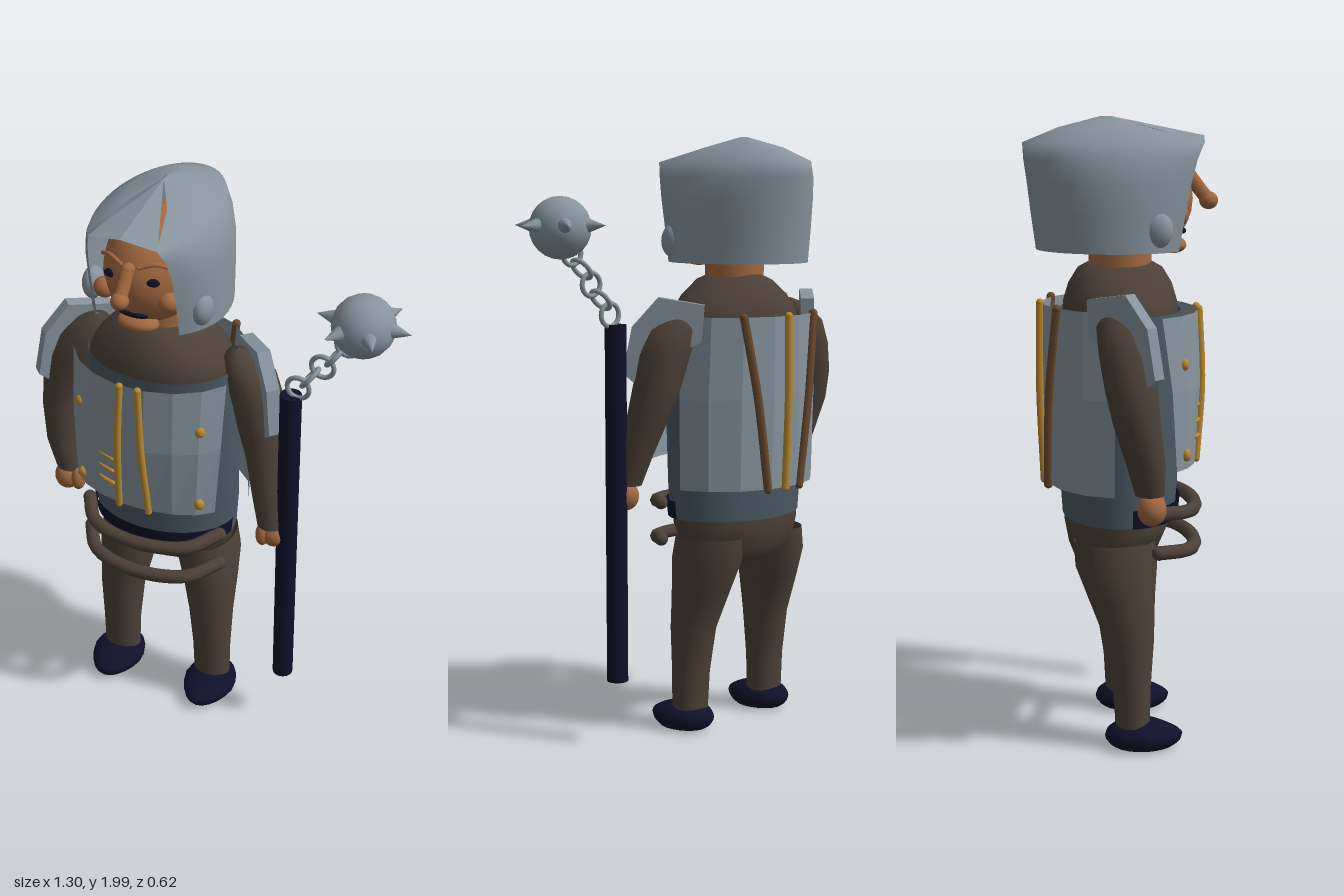
import * as THREE from 'three';

const material = (name, color, side = THREE.FrontSide) => {
  const m = new THREE.MeshStandardMaterial({ color, side });
  m.name = name;
  return m;
};

// Loft of horizontal ellipses, bottom to top. Row: [y, cx, cz, rx, rzFront, rzBack]; angle 0 faces front.
function loft(rows, { from = 0, to = 360, n = 28, flat = false } = {}) {
  const closed = to - from === 360, cols = closed ? n : n + 1, pos = [], idx = [];
  for (const [y, cx, cz, rx, rzF, rzB = rzF] of rows) {
    for (let j = 0; j < cols; j++) {
      const t = THREE.MathUtils.degToRad(from + (to - from) * j / n), c = Math.cos(t);
      pos.push(cx + rx * Math.sin(t), y, cz + (c > 0 ? rzF : rzB) * c);
    }
  }
  for (let i = 0; i < rows.length - 1; i++) for (let j = 0; j < n; j++) {
    const k = (j + 1) % cols, a = i * cols + j, b = i * cols + k;
    idx.push(a, b, b + cols, a, b + cols, a + cols);
  }
  let g = new THREE.BufferGeometry();
  g.setAttribute('position', new THREE.Float32BufferAttribute(pos, 3));
  g.setIndex(idx);
  if (flat) g = g.toNonIndexed();
  g.computeVertexNormals();
  return g;
}

export function createModel() {
  const steel = material('steel', 0x87949e, THREE.DoubleSide);
  const cloth = material('slateCloth', 0x4a5963, THREE.DoubleSide);
  const brown = material('darkBrownCloth', 0x4c4138, THREE.DoubleSide);
  const leather = material('leather', 0x6a4a2c);
  const skin = material('skin', 0xa0683f);
  const navy = material('navy', 0x10102a, THREE.DoubleSide);
  const gold = material('gold', 0xb98a30);

  const model = new THREE.Group();
  model.name = 'macebearer';
  const body = new THREE.Group();
  body.name = 'body';
  body.position.x = -0.2;
  model.add(body);

  const add = (name, geo, mat, parent = body) => {
    const m = new THREE.Mesh(geo, mat);
    m.name = name;
    parent.add(m);
    return m;
  };
  const ball = (name, mat, p, s) => {
    const m = add(name, new THREE.SphereGeometry(1, 20, 14), mat);
    m.position.set(...p);
    m.scale.set(...s);
    return m;
  };
  const tube = (name, pts, r, mat) => {
    const v = pts.map(p => new THREE.Vector3(...p));
    const m = add(name, new THREE.TubeGeometry(new THREE.CatmullRomCurve3(v), 20, r, 8), mat);
    for (const p of [v[0], v[v.length - 1]]) ball(name + 'End', mat, p.toArray(), [r, r, r]);
    return m;
  };

  // Torso and garments
  add('torso', loft([
    [0.575, 0, -0.03, 0.02, 0.02], [0.59, 0, -0.03, 0.13, 0.1], [0.64, 0, -0.02, 0.225, 0.145],
    [0.72, 0, -0.01, 0.245, 0.17], [0.9, 0, 0, 0.25, 0.18], [1.38, 0, 0, 0.25, 0.185],
    [1.43, 0, 0, 0.23, 0.18], [1.48, 0, 0, 0.19, 0.165], [1.53, 0, 0, 0.12, 0.135],
    [1.55, 0, 0, 0.07, 0.1], [1.56, 0, 0, 0.01, 0.01]]), brown);
  add('tunic', loft([
    [0.74, 0, -0.005, 0.25, 0.18], [0.85, 0, -0.005, 0.257, 0.188],
    [1.1, 0, 0, 0.26, 0.192], [1.4, 0, 0, 0.255, 0.192]]), cloth);
  add('sash', loft([[0.74, 0, 0, 0.253, 0.186], [0.8, 0, 0, 0.259, 0.192]], { from: -85, to: 85 }), navy);
  for (const y of [0.78, 0.655]) {
    tube('beltRoll', [[-0.245, y + 0.005, 0.1], [-0.17, y - 0.005, 0.2], [0, y - 0.01, 0.24],
      [0.17, y - 0.005, 0.2], [0.245, y + 0.005, 0.1]], 0.023, brown);
  }

  // Faceted breastplate and backplate
  add('breastplate', loft([
    [0.92, 0, 0.09, 0.28, 0.15], [1.17, 0, 0.05, 0.295, 0.205], [1.4, 0, 0, 0.3, 0.245]],
    { from: -65, to: 65, n: 7, flat: true }), steel);
  add('backplate', loft([
    [0.85, 0, 0, 0.295, 0.24], [1.15, 0, 0, 0.3, 0.25], [1.42, 0, 0, 0.285, 0.25]],
    { from: 100, to: 260, n: 7, flat: true }), steel);
  tube('backTrim', [[0, 0.85, -0.243], [0, 1.15, -0.255], [0, 1.42, -0.253]], 0.013, gold);

  for (const s of [-1, 1]) {
    // Armour trim
    tube('frontTrim', [[s * 0.054, 0.92, 0.24], [s * 0.042, 1.17, 0.257], [s * 0.032, 1.4, 0.248]], 0.012, gold);
    tube('backStrap', [[s * 0.075, 0.85, -0.235], [s * 0.12, 1.15, -0.232], [s * 0.165, 1.42, -0.21]], 0.014, leather);
    for (const [y, z] of [[0.965, 0.187], [1.25, 0.178]]) ball('stud', gold, [s * 0.213, y, z], [0.018, 0.02, 0.016]);

    // Shoulder guards: slanted angular plates
    const shape = new THREE.Shape([[0, 1.46], [0.15, 1.485], [0.235, 1.39], [0.265, 1.24], [0.23, 1.21],
      [0.15, 1.28], [0.01, 1.34]].map(([u, y]) => new THREE.Vector2(u, y)));
    const guard = add('shoulderGuard', new THREE.ExtrudeGeometry(shape, { depth: 0.045, bevelEnabled: false }), steel);
    guard.geometry.translate(0, 0, -0.022);
    guard.position.set(s * 0.245, 0, -0.11);
    guard.rotation.y = s > 0 ? -Math.PI / 4 : -Math.PI * 3 / 4;

    // Legs and shoes
    add('leg', loft([
      [0.06, s * 0.182, 0.025, 0.065, 0.055], [0.2, s * 0.18, 0.022, 0.068, 0.06],
      [0.36, s * 0.175, 0.015, 0.078, 0.078], [0.5, s * 0.162, -0.01, 0.094, 0.107],
      [0.6, s * 0.15, -0.025, 0.106, 0.13], [0.68, s * 0.14, -0.03, 0.1, 0.13]]), brown);
    const shoe = ball('shoe', navy, [s * 0.186, 0.045, 0.06], [0.093, 0.055, 0.125]);
    const p = shoe.geometry.attributes.position;
    for (let i = 0; i < p.count; i++) {
      const y = p.getY(i), z = p.getZ(i);
      p.setY(i, y > 0 ? y * (1 - 0.45 * Math.max(0, z)) : Math.max(y, -0.7));
      p.setX(i, p.getX(i) * (1 - 0.2 * Math.max(0, z)));
    }
    shoe.geometry.computeVertexNormals();

    // Face, mirrored features
    ball('eye', navy, [s * 0.068, 1.775, 0.198], [0.026, 0.014, 0.014]);
    ball('cheek', skin, [s * 0.11, 1.7, 0.17], [0.036, 0.033, 0.034]);
    tube('eyebrow', [[s * 0.03, 1.82, 0.207], [s * 0.075, 1.832, 0.188], [s * 0.115, 1.815, 0.16]], 0.007, skin);
    ball('earGuard', steel, [s * 0.188, 1.66, 0.1], [0.034, 0.055, 0.045]);
  }
  for (const y of [1.1, 1.05, 1.0]) {
    tube('buckleBar', [[-0.125, y + 0.005, 0.226], [-0.1, y + 0.002, 0.235], [-0.072, y, 0.243]], 0.007, gold);
  }

  // Arms: [y, cx, cz, rx, rz]
  const arms = {
    rightArm: [[0.87, -0.338, 0.06, 0.048, 0.045], [0.97, -0.362, 0.045, 0.062, 0.06], [1.1, -0.375, 0.015, 0.072, 0.072],
      [1.2, -0.365, 0, 0.08, 0.08], [1.3, -0.335, -0.01, 0.088, 0.085], [1.38, -0.3, -0.02, 0.085, 0.08],
      [1.44, -0.26, -0.02, 0.05, 0.05], [1.46, -0.25, -0.02, 0.005, 0.005]],
    leftArm: [[0.87, 0.42, 0.07, 0.046, 0.045], [0.97, 0.405, 0.05, 0.058, 0.06], [1.1, 0.378, 0.015, 0.07, 0.072],
      [1.2, 0.352, 0, 0.08, 0.08], [1.3, 0.33, -0.01, 0.086, 0.085], [1.38, 0.3, -0.02, 0.085, 0.08],
      [1.44, 0.26, -0.02, 0.05, 0.05], [1.46, 0.25, -0.02, 0.005, 0.005]]
  };
  for (const [name, rows] of Object.entries(arms)) add(name, loft(rows, { n: 20 }), brown);
  ball('rightHand', skin, [-0.348, 0.825, 0.065], [0.045, 0.05, 0.045]);
  ball('rightThumb', skin, [-0.298, 0.835, 0.08], [0.024, 0.045, 0.03]);
  ball('leftHand', skin, [0.432, 0.835, 0.07], [0.045, 0.048, 0.045]);
  ball('leftThumb', skin, [0.4, 0.835, 0.09], [0.024, 0.045, 0.03]);

  // Head
  ball('head', skin, [0, 1.745, 0.03], [0.155, 0.185, 0.2]);
  add('neck', new THREE.CylinderGeometry(0.1, 0.1, 0.14, 20), skin).position.set(0, 1.58, 0);
  tube('nose', [[0, 1.815, 0.22], [0, 1.775, 0.25], [0, 1.745, 0.275]], 0.022, skin);
  ball('noseTip', skin, [0, 1.738, 0.28], [0.028, 0.028, 0.03]);
  ball('mouth', navy, [0, 1.645, 0.194], [0.05, 0.011, 0.014]);
  ball('chin', skin, [0, 1.6, 0.165], [0.07, 0.027, 0.045]);

  // Open-faced helmet with a peaked brow plate
  add('helmet', loft([
    [1.59, 0, 0, 0.222, 0.22, 0.265], [1.7, 0, 0, 0.222, 0.245, 0.28], [1.8, 0, 0, 0.22, 0.27, 0.292],
    [1.87, 0, 0, 0.204, 0.295, 0.302], [1.92, 0, 0, 0.175, 0.325, 0.305], [1.965, 0, -0.03, 0.105, 0.15, 0.165],
    [2.0, 0, -0.03, 0.004, 0.004, 0.03]], { from: 40, to: 320, n: 36 }), steel);
  const brow = new THREE.BufferGeometry();
  brow.setAttribute('position', new THREE.Float32BufferAttribute([
    0, 2.0, -0.03, -0.116, 1.918, 0.25, 0, 1.94, 0.265,
    0, 2.0, -0.03, 0, 1.94, 0.265, 0.116, 1.918, 0.25], 3));
  brow.computeVertexNormals();
  add('browPlate', brow, steel);
  tube('crest', [[0, 1.992, -0.06], [0, 1.993, -0.03], [0, 1.988, 0]], 0.006, steel);

  // Mace: staff, alternating chain links, spiked ball
  const mace = new THREE.Group();
  mace.name = 'mace';
  mace.position.z = 0.065;
  model.add(mace);
  add('staff', new THREE.CylinderGeometry(0.035, 0.035, 1.18, 16), navy, mace).position.set(0.275, 0.81, 0);
  for (let i = 0; i < 5; i++) {
    const link = add('chainLink', new THREE.TorusGeometry(0.037, 0.008, 8, 20), steel, mace);
    link.position.set(0.298 + i * 0.039, 1.432 + i * 0.05, 0);
    link.rotation.set(0, i % 2 ? Math.PI / 2 : 0, i % 2 ? -0.66 : 0, 'ZYX');
  }
  const head = new THREE.Group();
  head.name = 'maceHead';
  head.position.set(0.5, 1.712, 0);
  mace.add(head);
  add('maceBall', new THREE.SphereGeometry(0.098, 16, 12), steel, head);
  for (let i = 0; i < 6; i++) {
    const a = i * Math.PI / 3;
    const spike = add('spike', new THREE.ConeGeometry(0.026, 0.065, 10), steel, head);
    spike.position.set(Math.cos(a) * 0.118, 0.008, Math.sin(a) * 0.118);
    spike.quaternion.setFromUnitVectors(new THREE.Vector3(0, 1, 0), new THREE.Vector3(Math.cos(a), 0, Math.sin(a)));
  }
  return model;
}
